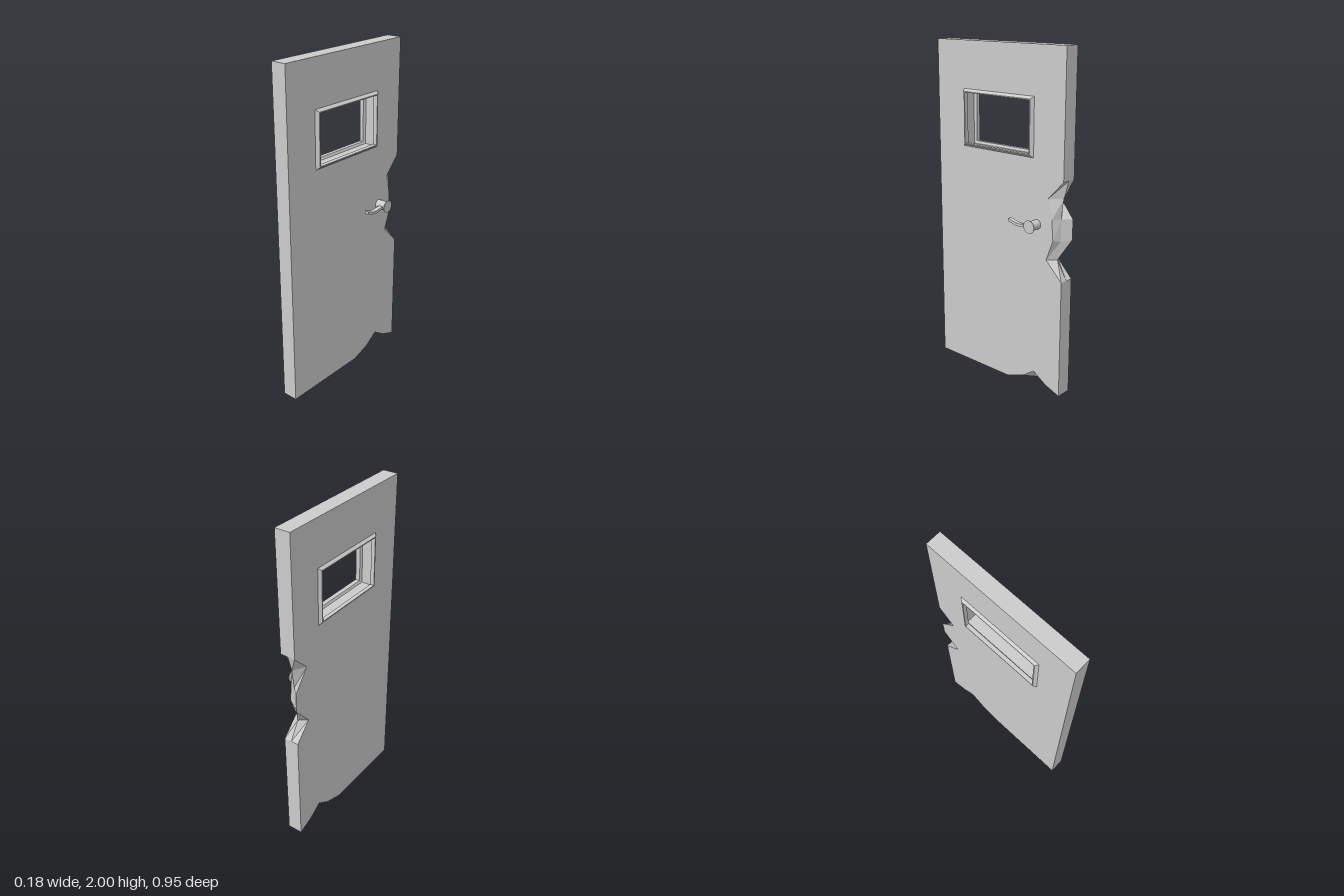
import * as THREE from 'three';

const FRONT = 0.018, BACK = -0.075, MID = (FRONT + BACK) / 2;
const WIN_Y = 1.557;
const material = new THREE.MeshStandardMaterial({ color: 0xcccccc });
const flat = new THREE.MeshStandardMaterial({ color: 0xcccccc, flatShading: true });

function part(name, geometry, mat = flat) {
  const mesh = new THREE.Mesh(geometry, mat);
  mesh.name = name;
  return mesh;
}

// Joins a stack of closed loops of [x, y, z] points with faceted quads
function skin(loops) {
  const pos = [];
  for (let k = 0; k < loops.length - 1; k++) {
    const A = loops[k], B = loops[k + 1];
    for (let i = 0; i < A.length; i++) {
      const j = (i + 1) % A.length;
      pos.push(...A[i], ...B[i], ...B[j], ...A[i], ...B[j], ...A[j]);
    }
  }
  const g = new THREE.BufferGeometry();
  g.setAttribute('position', new THREE.Float32BufferAttribute(pos, 3));
  g.computeVertexNormals();
  return g;
}

// Rectangle around the window, counter-clockwise seen from +x
function rect(x, hz, hy) {
  return [[x, WIN_Y - hy, hz], [x, WIN_Y - hy, -hz], [x, WIN_Y + hy, -hz], [x, WIN_Y + hy, hz]];
}

// Door outline: [z, y] on the +x face, then in the middle of the edge, then on the -x face
const same = (z, y) => [[z, y], [z, y], [z, y]];
const outline = [
  same(0.475, 0),
  same(-0.08, 0),
  same(-0.2, 0.042),
  [[-0.285, 0.1], [-0.285, 0.045], [-0.285, 0.1]],
  same(-0.375, 0.042),
  same(-0.475, 0.005),
  same(-0.475, 0.71),
  [[-0.365, 0.82], [-0.41, 0.82], [-0.37, 0.82]],
  [[-0.41, 0.94], [-0.43, 0.93], [-0.475, 0.94]],
  [[-0.4, 1.06], [-0.43, 1.06], [-0.475, 1.06]],
  [[-0.37, 1.175], [-0.445, 1.18], [-0.375, 1.185]],
  same(-0.475, 1.285),
  same(-0.475, 2),
  same(0.475, 2),
];

// Flat door face with the window hole; side is +1 for the +x face
function doorFace(column, side) {
  const shape = new THREE.Shape(outline.map(p => new THREE.Vector2(-side * p[column][0], p[column][1])));
  shape.holes.push(new THREE.Path(
    rect(0, 0.264, 0.167).map(([, y, z]) => new THREE.Vector2(z, y))));
  const g = new THREE.ShapeGeometry(shape);
  g.rotateY(side * Math.PI / 2);
  g.translate(side > 0 ? FRONT : BACK, 0, 0);
  return g;
}

function createDoor() {
  const door = new THREE.Group();
  door.name = 'doorPanel';
  const loops = [FRONT, MID, BACK].map((x, c) => outline.map(p => [x, p[c][1], p[c][0]]));
  door.add(
    part('rightFace', doorFace(0, 1)),
    part('leftFace', doorFace(2, -1)),
    part('brokenEdge', skin(loops)));
  return door;
}

// Bevelled frame lining the opening: [x, half width, half height] around its cross-section
function createWindowFrame() {
  const profile = [
    [0.036, 0.25, 0.154], [FRONT, 0.265, 0.168], [BACK, 0.265, 0.168], [-0.09, 0.25, 0.154],
    [-0.09, 0.243, 0.148], [-0.066, 0.243, 0.148], [-0.06, 0.26, 0.163],
    [0.003, 0.26, 0.163], [0.009, 0.243, 0.148], [0.036, 0.243, 0.148], [0.036, 0.25, 0.154],
  ];
  return part('windowFrame', skin(profile.map(p => rect(...p))));
}

function createHandle() {
  const handle = new THREE.Group();
  handle.name = 'handle';
  // Round stem, flared cap and rim, running out along x
  const pieces = [
    ['handleStem', 0.028, 0.028, FRONT, 0.082],
    ['handleFlare', 0.038, 0.028, 0.08, 0.088],
    ['handleCap', 0.038, 0.038, 0.088, 0.09],
  ];
  for (const [name, rOuter, rInner, x0, x1] of pieces) {
    const g = new THREE.CylinderGeometry(rOuter, rInner, x1 - x0, 32);
    g.rotateZ(-Math.PI / 2);
    g.translate((x0 + x1) / 2, 1.015, -0.295);
    handle.add(part(name, g, material));
  }
  // Wavy lever: [z, centre y, half thickness]
  const lever = [
    [-0.13, 1.022, 0.009], [-0.15, 1.016, 0.008], [-0.18, 1.007, 0.008],
    [-0.21, 1.005, 0.008], [-0.25, 1.01, 0.008], [-0.285, 1.011, 0.009],
  ];
  const top = lever.map(([z, y, t]) => new THREE.Vector2(-z, y + t));
  const bottom = lever.map(([z, y, t]) => new THREE.Vector2(-z, y - t)).reverse();
  const g = new THREE.ExtrudeGeometry(new THREE.Shape([...top, ...bottom]), { depth: 0.028, bevelEnabled: false });
  g.rotateY(Math.PI / 2);
  g.translate(0.045, 0, 0);
  handle.add(part('handleLever', g));
  return handle;
}

export function createModel() {
  const model = new THREE.Group();
  model.name = 'brokenDoor';
  model.add(createDoor(), createWindowFrame(), createHandle());
  return model;
}
